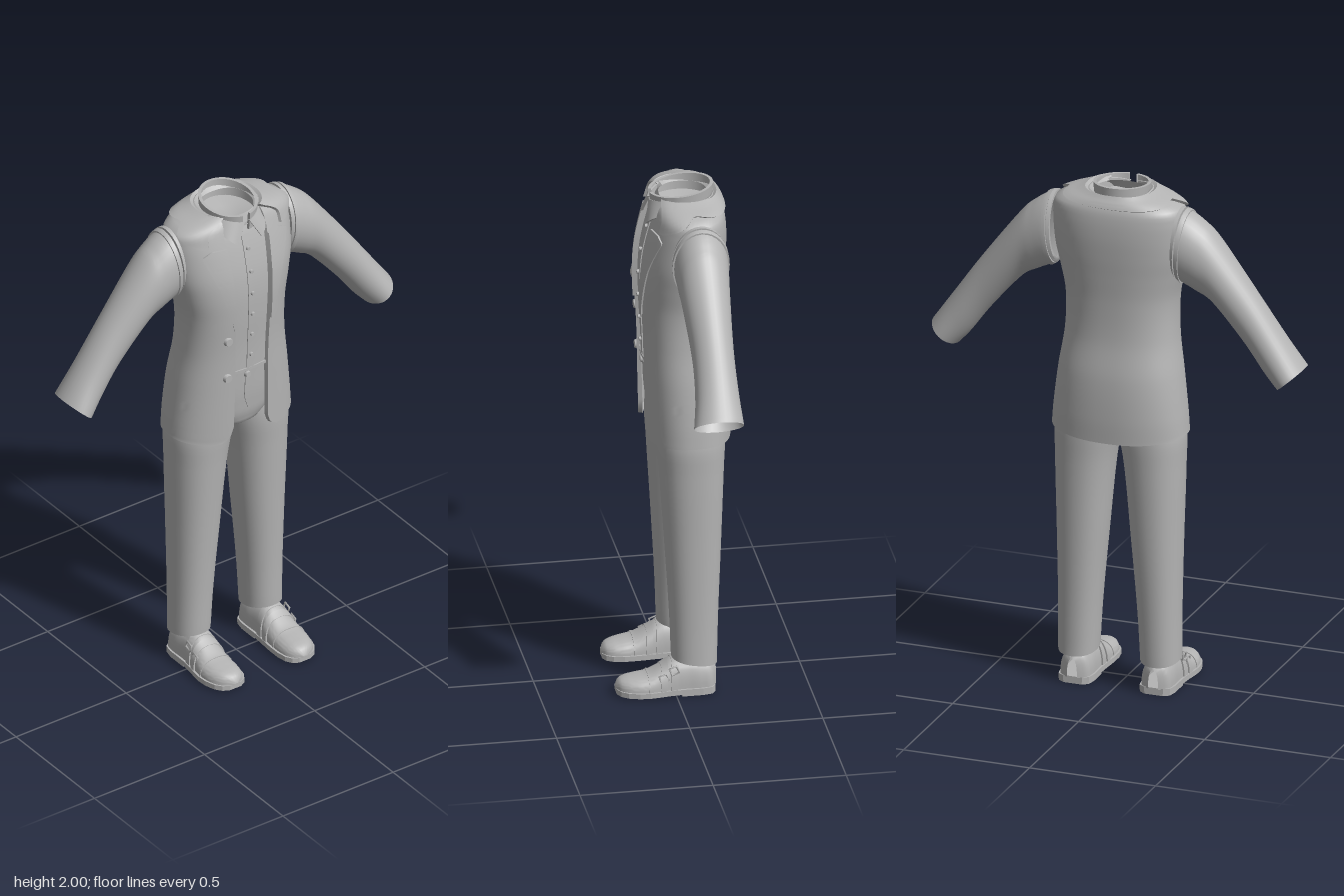
import * as THREE from 'three';
import { toCreasedNormals } from 'three/addons/utils/BufferGeometryUtils.js';

const cloth = new THREE.MeshStandardMaterial({ color: 0xb4b4b4, side: THREE.DoubleSide });
cloth.name = 'grey cloth';

// Smooth or linear lookup in a table whose first column is the key
function table(rows, Kind = THREE.CubicInterpolant) {
  const size = rows[0].length - 1;
  const f = new Kind(rows.map(r => r[0]), rows.flatMap(r => r.slice(1)), size, new Float32Array(size));
  return k => Array.from(f.evaluate(k));
}
const linear = rows => table(rows, THREE.LinearInterpolant);

// Surface from fn(u, v, tucked); tuck adds a border row that folds inward
function grid(fn, nu, nv, tuck = false) {
  const e = tuck ? 1 : 0, pos = [], idx = [], cols = nu + 1 + 2 * e;
  for (let j = -e; j <= nv + e; j++) for (let i = -e; i <= nu + e; i++) {
    const edge = i < 0 || j < 0 || i > nu || j > nv;
    pos.push(...fn(Math.min(1, Math.max(0, i / nu)), Math.min(1, Math.max(0, j / nv)), edge));
  }
  for (let j = 0; j < nv + 2 * e; j++) for (let i = 0; i < cols - 1; i++) {
    const a = j * cols + i, b = a + 1, c = b + cols, d = a + cols;
    idx.push(a, b, c, a, c, d);
  }
  const g = new THREE.BufferGeometry();
  g.setAttribute('position', new THREE.Float32BufferAttribute(pos, 3));
  g.setIndex(idx);
  return toCreasedNormals(g, 0.8);
}

function add(parent, name, geometry, x = 0, y = 0, z = 0) {
  const m = new THREE.Mesh(geometry, cloth);
  m.name = name;
  m.position.set(x, y, z);
  parent.add(m);
  return m;
}

const spow = (v, p) => Math.sign(v) * Math.abs(v) ** p;
const mix = THREE.MathUtils.lerp;
const P = 0.85;
const oval = (a, w, zf, zb, p = P) => [w * spow(Math.sin(a), p), (zf + zb) / 2 + (zf - zb) / 2 * spow(Math.cos(a), p)];

// Torso: height, half width, front z, back z
const torso = table([
  [1.0, .262, .095, -.23], [1.1, .255, .098, -.232], [1.25, .238, .102, -.225], [1.4, .217, .106, -.203],
  [1.55, .216, .114, -.2], [1.65, .235, .114, -.206], [1.73, .252, .106, -.212], [1.82, .258, .086, -.215],
  [1.89, .255, .065, -.21], [1.92, .245, .055, -.203], [1.94, .2, .05, -.192], [1.955, .15, .045, -.18], [1.97, .11, .04, -.17]]);
function body(y, a, off = 0) {
  const [w, zf, zb] = torso(y);
  const [x, z] = oval(a, w + off, zf + off, zb - off);
  return [x, y + off * 0.7 * THREE.MathUtils.smoothstep(y, 1.88, 1.95), z];
}
const angleAt = (y, x) => Math.asin(spow(Math.min(1, Math.max(-1, x / torso(y)[0])), 1 / P));
const opening = linear([[1.0, .14], [1.01, .11], [1.03, .09], [1.07, .077], [1.3, .073], [1.55, .078], [1.75, .085], [1.9, .095], [1.97, .085]]);

// Patch lying on the torso between two x limits
function patch(x0, x1, y0, y1, off, nu, nv) {
  return grid((u, v, t) => {
    const y = mix(y0, y1, v);
    return body(y, angleAt(y, mix(x0(y), x1(y), u)), t ? off - .012 : off);
  }, nu, nv, true);
}

function button(parent, x, y, off, r) {
  const z = body(y, angleAt(y, x), off)[2];
  add(parent, 'button', new THREE.CylinderGeometry(r * .8, r, .012, 16).rotateX(Math.PI / 2), x, y, z);
}

function buildTorso(g) {
  add(g, 'jacket', grid((u, v, t) => {
    const y = mix(1.005, 1.968, v), a0 = angleAt(y, opening(y)[0]);
    const a = mix(a0, 2 * Math.PI - a0, u), p = body(y, a, t ? -.016 : 0);
    p[1] += .018 * Math.sin(a) ** 2 * Math.max(0, 1 - v * 8);
    return p;
  }, 56, 60, true));

  // Waistcoat front with placket and buttons
  add(g, 'waistcoat', grid((u, v) => body(mix(1.3, 1.965, v), mix(-1, 1, u), -.014), 24, 40));
  add(g, 'placket', patch(() => -.018, () => .018, 1.305, 1.88, -.01, 2, 24));
  add(g, 'waistHem', patch(() => -.085, () => .085, 1.3, 1.312, -.009, 8, 1));
  for (let i = 0; i < 6; i++) button(g, 0, 1.37 + i * .092, -.008, .009);
  button(g, -.012, 1.282, -.012, .014);
  for (const y of [1.465, 1.3]) button(g, -.105, y, .004, .019);

  // Notched jacket collar
  add(g, 'jacketCollar', grid((u, v, t) => {
    const a = mix(.6, 2 * Math.PI - .6, u), c = Math.cos(a);
    const low = c < 0 ? mix(1.944, 1.925, -c) : mix(1.944, 1.872, Math.min(1, c / .8));
    return body(mix(low, 1.966, v), a, t ? -.004 : .011);
  }, 48, 8, true));
  // Shirt neckband, higher at the back, open at the front
  add(g, 'shirtNeckband', grid((u, v, t) => {
    const a = mix(.15, 2 * Math.PI - .15, u), r = v * .006 - (t ? .012 : 0);
    const [x, z] = oval(a, .1 + r, .062 + r, -.168 - r, 1);
    return [x, mix(1.9, 1.987 - .013 * Math.cos(a), v), z];
  }, 40, 4, true));
  add(g, 'neckFloor', grid((u, v) => {
    const [x, z] = oval(u * 2 * Math.PI, .098 * (1 - v), .06, -.166, 1);
    return [x, mix(1.925, 1.9, v), mix(z, -.05, v)];
  }, 32, 2));
}

// Parts that mirror from the left side to the right
const sleeveRows = table([
  [0, .24, 1.922, .232, 1.665, .01, -.18], [1, .275, 1.916, .252, 1.642, .018, -.185], [2, .33, 1.882, .312, 1.612, .016, -.18],
  [3, .39, 1.825, .385, 1.568, .01, -.172], [4, .54, 1.63, .505, 1.432, -.005, -.162],
  [5, .65, 1.475, .585, 1.325, 0, -.165], [6, .735, 1.355, .635, 1.268, .016, -.172]]);
function sleeve(t0, t1, nv, grow = 0, tuck = false) {
  return grid((u, v, t) => {
    const [tx, ty, bx, by, zf, zb] = sleeveRows(mix(t0, t1, v));
    const a = u * 2 * Math.PI, c = Math.cos(a), s = Math.sin(a), k = t ? grow - .012 : grow;
    const h = .5 + k / Math.hypot(tx - bx, ty - by);
    return [(tx + bx) / 2 + (tx - bx) * h * c, (ty + by) / 2 + (ty - by) * h * c, (zf + zb) / 2 + ((zf - zb) / 2 + k) * s];
  }, 32, nv, tuck);
}

const legRows = table([[.125, .087, .238, .01, -.16], [.3, .077, .238, .016, -.165], [.6, .051, .243, .033, -.178],
  [.9, .022, .25, .052, -.19], [1.03, .001, .25, .06, -.196], [1.12, 0, .225, .052, -.19]]);

// Shoe: z, centre x, half width, top height
const shoeRows = table([[-.155, .161, .02, .1], [-.14, .161, .048, .12], [-.1, .161, .06, .135], [-.04, .161, .06, .14],
  [.01, .162, .061, .135], [.05, .163, .066, .11], [.1, .165, .07, .084], [.15, .163, .067, .074],
  [.19, .16, .053, .066], [.213, .158, .03, .053], [.221, .157, .008, .035]]);
function shoeBand(z0, z1, nv, grow, lean = 0) {
  return grid((u, v, t) => {
    const a = u * Math.PI, s = Math.sin(a), z = mix(z0, z1, v);
    const [c, w, top] = shoeRows(z), k = t ? 0 : grow;
    return [c + (w + k) * spow(Math.cos(a), .8), .025 + (top - .025 + k) * spow(s, .85), z - lean * s];
  }, 24, nv, grow > 0);
}
function soleSlab(zMax, grow, depth) {
  const zs = [-.15, -.135, -.1, -.05, -.02, .03, .07, .1, .14, .18, .205, .218].filter(z => z <= zMax);
  const side = s => zs.map(z => { const [c, w] = shoeRows(z); return new THREE.Vector2(c + s * (w + grow), -z); });
  const shape = new THREE.Shape([...side(1), ...side(-1).reverse()]);
  return new THREE.ExtrudeGeometry(shape, { depth, bevelEnabled: false }).rotateX(-Math.PI / 2);
}

function buildSide(name, sx) {
  const g = new THREE.Group();
  g.name = name;
  g.scale.x = sx;
  add(g, 'sleeve', sleeve(.7, 6, 40));
  add(g, 'armholeSeam', sleeve(.15, .6, 3, .007, true));
  add(g, 'sleeveHead', sleeve(.78, 1.15, 3, .006, true));

  // Lapel with its notch
  const outer = linear([[1.5, .083], [1.54, .088], [1.7, .136], [1.84, .187], [1.862, .15]]);
  add(g, 'lapel', patch(y => opening(y)[0], y => outer(y)[0], 1.51, 1.86, .007, 8, 40));

  // Folded shirt collar wing
  const A = [.012, 1.945, .07], B = [.112, 1.968, -.02], C = [.122, 1.93, 0], D = [.055, 1.868, .088];
  add(g, 'shirtCollarWing', grid((u, v, t) => A.map((_, k) =>
    mix(mix(D[k], C[k], u), mix(A[k], B[k], u), v) + (k === 2 ? .02 * Math.sin(u * Math.PI) - (t ? .01 : 0) : 0)), 10, 4, true));

  add(g, 'trouserLeg', grid((u, v, t) => {
    const [xi, xo, zf, zb] = legRows(mix(.125, 1.12, v)), k = t ? .012 : 0;
    const [x, z] = oval(u * 2 * Math.PI, (xo - xi) / 2 - k, zf - k, zb + k, .92);
    return [(xi + xo) / 2 + x, mix(.125, 1.12, v) + (v === 0 ? .014 * Math.cos(u * 2 * Math.PI) : 0), z];
  }, 32, 30, true));

  // Buckled shoe
  const shoe = new THREE.Group();
  shoe.name = 'shoe';
  g.add(shoe);
  add(shoe, 'shoeUpper', shoeBand(-.155, .221, 36, 0));
  add(shoe, 'sole', soleSlab(1, .008, .02), 0, .008, 0);
  add(shoe, 'heel', soleSlab(-.02, .006, .012));
  add(shoe, 'toeSeam', shoeBand(.098, .104, 1, .003));
  [[.036, .06, .076], [-.004, .022, .105]].forEach(([z0, z1, y]) => {
    add(shoe, 'strap', shoeBand(z0, z1, 2, .006, .008));
    const b = add(shoe, 'buckle', new THREE.TorusGeometry(.02, .004, 6, 4, Math.PI * 2).rotateZ(Math.PI / 4), .222, y, (z0 + z1) / 2);
    b.rotation.set(0, Math.PI / 2, .35);
  });
  return g;
}

export function createModel() {
  const model = new THREE.Group();
  model.name = 'suit';
  buildTorso(model);

  // Trouser seat and fly
  const seat = table([[1.02, .03, -.01, -.12], [1.035, .08, .04, -.16], [1.07, .15, .062, -.185], [1.15, .215, .076, -.205], [1.31, .205, .086, -.185]]);
  const seatPoint = (y, a, off = 0) => {
    const [w, zf, zb] = seat(y), [x, z] = oval(a, w + off, zf + off, zb - off);
    return [x, y, z];
  };
  add(model, 'trouserSeat', grid((u, v) => seatPoint(mix(1.02, 1.31, v), u * 2 * Math.PI), 40, 20));
  add(model, 'fly', grid((u, v, t) => {
    const y = mix(1.12, 1.3, v);
    return seatPoint(y, mix(-.06 * Math.min(1, v * 3), .02, u), t ? -.004 : .004);
  }, 3, 10, true));

  model.add(buildSide('leftSide', 1), buildSide('rightSide', -1));
  return model;
}
